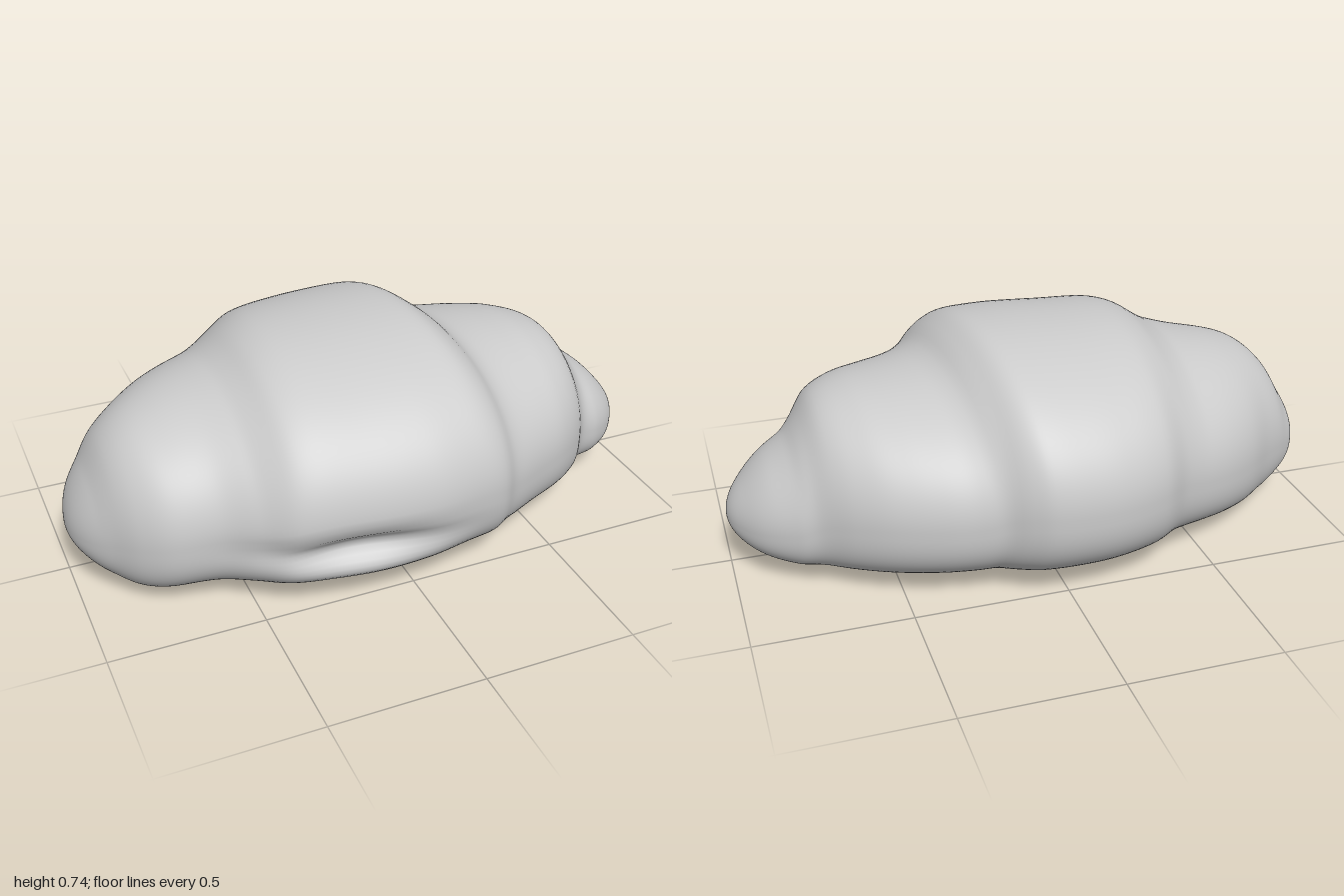
import * as THREE from 'three';

// Smooth curve through [x, value] points; asin spacing rounds off both tips
function profile(points) {
  const u = points.map(p => Math.asin(p[0]));
  const v = points.map(p => p[1]);
  const last = u.length - 1;
  const slope = u.map((_, i) => {
    const a = Math.max(0, i - 1), b = Math.min(last, i + 1);
    return (v[b] - v[a]) / (u[b] - u[a]);
  });
  return q => {
    let i = 0;
    while (i < last - 1 && q > u[i + 1]) i++;
    const h = u[i + 1] - u[i], t = (q - u[i]) / h, t2 = t * t, t3 = t2 * t;
    return v[i] * (2 * t3 - 3 * t2 + 1) + slope[i] * h * (t3 - 2 * t2 + t)
      + v[i + 1] * (3 * t2 - 2 * t3) + slope[i + 1] * h * (t3 - t2);
  };
}

// Outlines of the stepped roll along its length
const top = profile([[-1, .19], [-.93, .38], [-.87, .48], [-.8, .54], [-.7, .58], [-.5, .63], [-.45, .655],
  [-.38, .7], [-.3, .725], [-.15, .733], [.1, .743], [.18, .735], [.25, .69], [.3, .645], [.36, .62],
  [.5, .607], [.6, .595], [.7, .555], [.76, .48], [.8, .43], [.88, .365], [.95, .29], [1, .18]]);
const bottom = profile([[-1, .19], [-.97, .12], [-.9, .06], [-.8, .02], [-.5, .015], [0, .003], [.4, .015],
  [.7, .03], [.85, .055], [.95, .1], [1, .18]]);
const front = profile([[-1, .03], [-.97, .15], [-.9, .25], [-.83, .33], [-.75, .385], [-.6, .43], [-.5, .49],
  [-.4, .555], [-.25, .585], [0, .61], [.15, .588], [.23, .565], [.29, .52], [.36, .485], [.45, .445],
  [.6, .38], [.7, .31], [.77, .23], [.85, .205], [.92, .16], [.98, .08], [1, 0]]);
const back = profile([[-1, .03], [-.97, -.1], [-.9, -.18], [-.8, -.26], [-.7, -.345], [-.6, -.405], [-.4, -.49],
  [-.3, -.56], [-.15, -.605], [0, -.615], [.13, -.605], [.2, -.575], [.26, -.535], [.32, -.52], [.42, -.495],
  [.55, -.44], [.65, -.375], [.74, -.3], [.8, -.27], [.9, -.195], [.97, -.1], [1, 0]]);

const power = (v, n) => Math.sign(v) * Math.abs(v) ** (2 / n);
const bump = (v, centre, width) => Math.exp(-(((v - centre) / width) ** 2));

function rollGeometry(stations = 180, sides = 112) {
  const positions = [], index = [];
  for (let i = 0; i <= stations; i++) {
    const u = (i / stations - .5) * Math.PI, x0 = Math.sin(u);
    const t = top(u), b = bottom(u), f = front(u), k = back(u);
    const waist = b + (t - b) * .44;
    for (let j = 0; j < sides; j++) {
      const a = j / sides * Math.PI * 2, c = Math.cos(a), s = Math.sin(a);
      // domed upper half, flatter underside
      const n = s > 0 ? 2.05 : 2.7;
      const y = waist + power(s, n) * (s > 0 ? t - waist : waist - b);
      let z = (f + k) / 2 + power(c, n) * (f - k) / 2;
      // the middle fold runs diagonally over the roll
      const x = x0 + .1 * z * bump(x0, .28, .3);
      // overlapping dough flap low on the front
      if (c > 0) {
        const flap = bump(x, -.2, .24);
        z += c * flap * (.035 * bump(y, .13, .06) - .06 * bump(y, .235, .045));
      }
      positions.push(x, y, z);
      if (i < stations) {
        const jn = (j + 1) % sides, p = i * sides, q = p + sides;
        index.push(p + j, q + j, p + jn, q + j, q + jn, p + jn);
      }
    }
  }
  const geometry = new THREE.BufferGeometry();
  geometry.setAttribute('position', new THREE.Float32BufferAttribute(positions, 3));
  geometry.setIndex(index);
  geometry.computeVertexNormals();
  // both tips close to a point
  for (let j = 0; j < sides; j++) {
    geometry.attributes.normal.setXYZ(j, -1, 0, 0);
    geometry.attributes.normal.setXYZ(stations * sides + j, 1, 0, 0);
  }
  return geometry;
}

export function createModel() {
  const group = new THREE.Group();
  group.name = 'croissant';
  const roll = new THREE.Mesh(rollGeometry(), new THREE.MeshStandardMaterial({ color: 0xcccccc }));
  roll.name = 'rolledDough';
  group.add(roll);
  return group;
}
